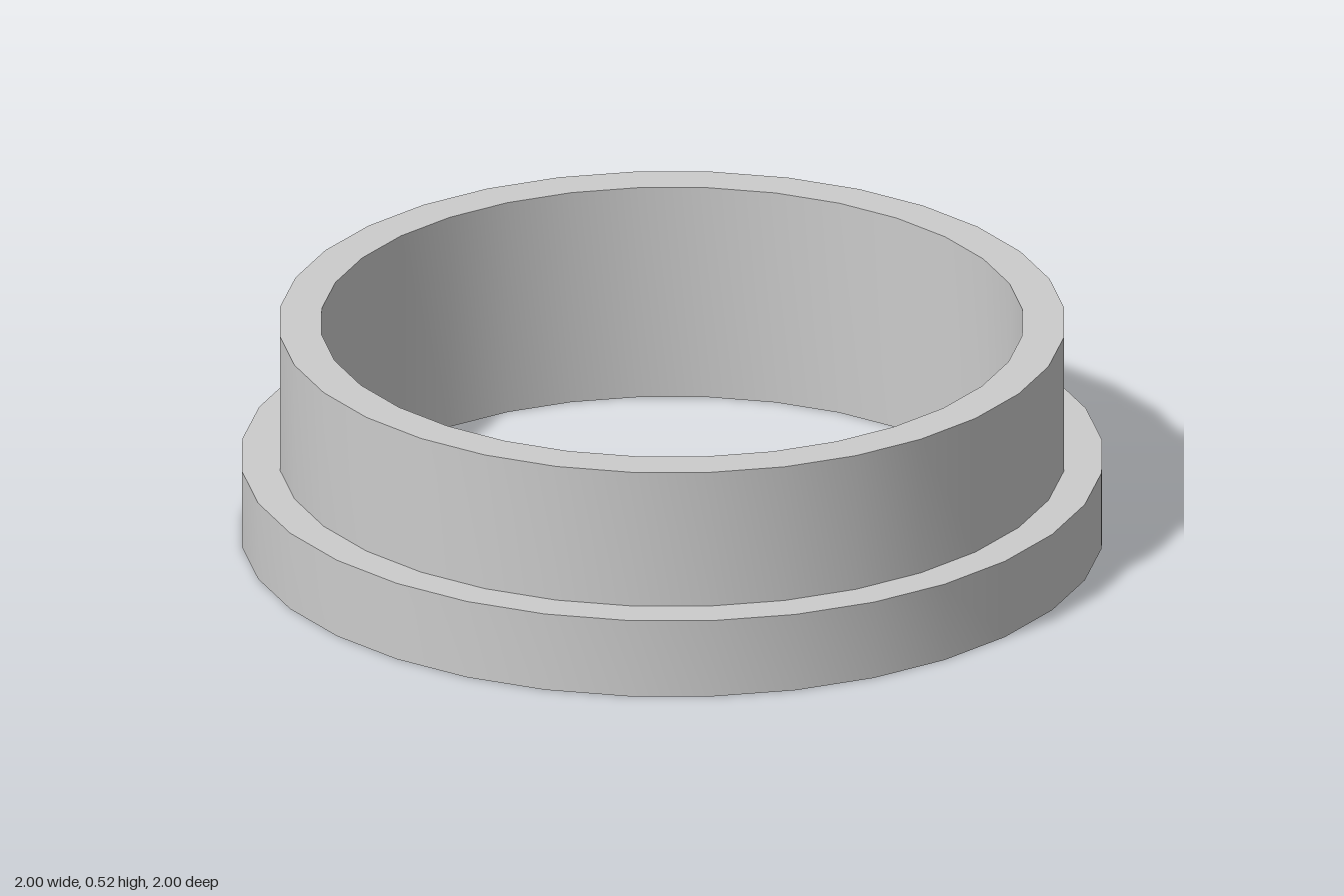
import * as THREE from 'three';
import { toCreasedNormals } from 'three/addons/utils/BufferGeometryUtils.js';

const HOLE = 0.815, COLLAR = 0.912, FLANGE = 1;
const STEP = 0.19, HEIGHT = 0.525, SIDES = 32;

export function createModel() {
  const group = new THREE.Group();
  group.name = 'flangedBushing';

  // Closed wall section: down the bore, out along the base, up the flange and collar
  const section = [
    [HOLE, HEIGHT], [HOLE, 0],
    [FLANGE, 0], [FLANGE, STEP],
    [COLLAR, STEP], [COLLAR, HEIGHT],
    [HOLE, HEIGHT],
  ].map(([r, y]) => new THREE.Vector2(r, y));

  // Smooth around the ring, sharp at the rims
  const geometry = toCreasedNormals(new THREE.LatheGeometry(section, SIDES), 0.6);
  const ring = new THREE.Mesh(geometry, new THREE.MeshStandardMaterial({ color: 0xcccccc }));
  ring.name = 'flangedRing';
  group.add(ring);

  return group;
}
